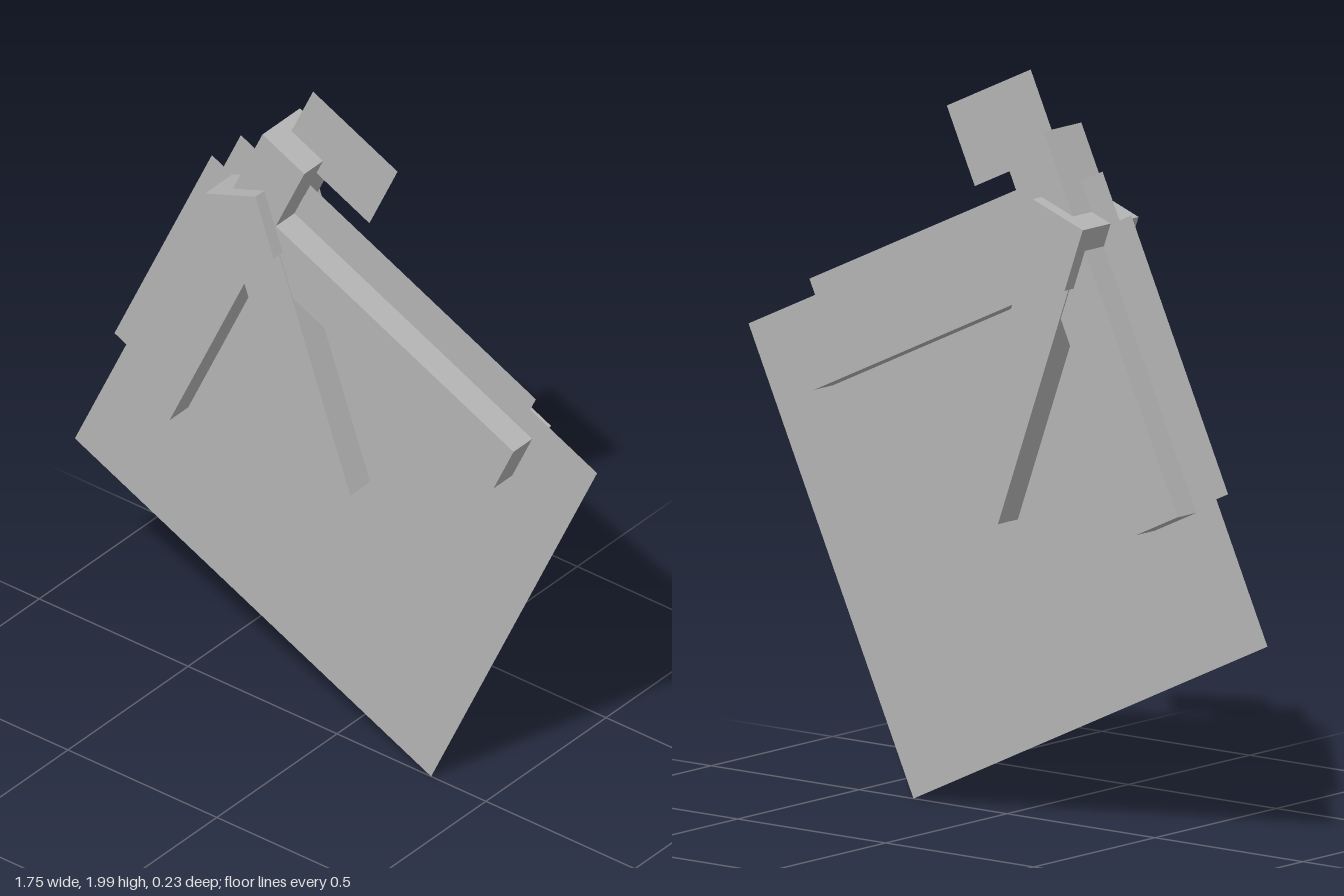
import * as THREE from 'three';

const grey = new THREE.MeshStandardMaterial({ color: 0xb4b4b4, side: THREE.DoubleSide });
grey.name = 'grey';

export function createModel() {
  const model = new THREE.Group();
  model.name = 'bladedHub';

  // Everything but the hub and tail arm shares one 25 degree tilt
  const frame = new THREE.Group();
  frame.name = 'tiltedFrame';
  frame.rotation.z = THREE.MathUtils.degToRad(-25);
  model.add(frame);

  const add = (parent, name, geometry, x, y) => {
    const mesh = new THREE.Mesh(geometry, grey);
    mesh.name = name;
    mesh.position.set(x, y, 0);
    parent.add(mesh);
  };
  // Flat sheet or square beam, given by its bounds in the tilted frame
  const sheet = (name, x0, x1, y0, y1) =>
    add(frame, name, new THREE.PlaneGeometry(x1 - x0, y1 - y0), (x0 + x1) / 2, (y0 + y1) / 2);
  const beam = (name, x0, x1, y0, y1) =>
    add(frame, name, new THREE.BoxGeometry(x1 - x0, y1 - y0, 0.156), (x0 + x1) / 2, (y0 + y1) / 2);

  // Thin sheets
  sheet('mainSheet', -1.036, 0.284, 0.139, 1.458);
  sheet('lowerArmSheet', -1.08, -1.036, 0.548, 1.322);
  sheet('sideArmSheet', -0.80, 0.036, 1.458, 1.503);
  sheet('upperSheet', -0.918, -0.605, 1.555, 1.779);

  // Arms meeting at the hub
  beam('lowerArm', -0.956, -0.801, 0.536, 1.38);
  beam('sideArm', -0.801, 0.08, 1.221, 1.38);
  beam('upperArm', -0.956, -0.801, 1.38, 1.607);

  // Hub block and tail arm, turned the other way
  const tail = new THREE.Group();
  tail.name = 'hubAndTail';
  tail.position.set(-0.235, 1.57, 0);
  tail.rotation.z = THREE.MathUtils.degToRad(20);
  model.add(tail);
  add(tail, 'hub', new THREE.BoxGeometry(0.18, 0.18, 0.23), 0, 0);
  add(tail, 'tailArm', new THREE.BoxGeometry(0.157, 0.796, 0.164), 0, -0.398);

  return model;
}
